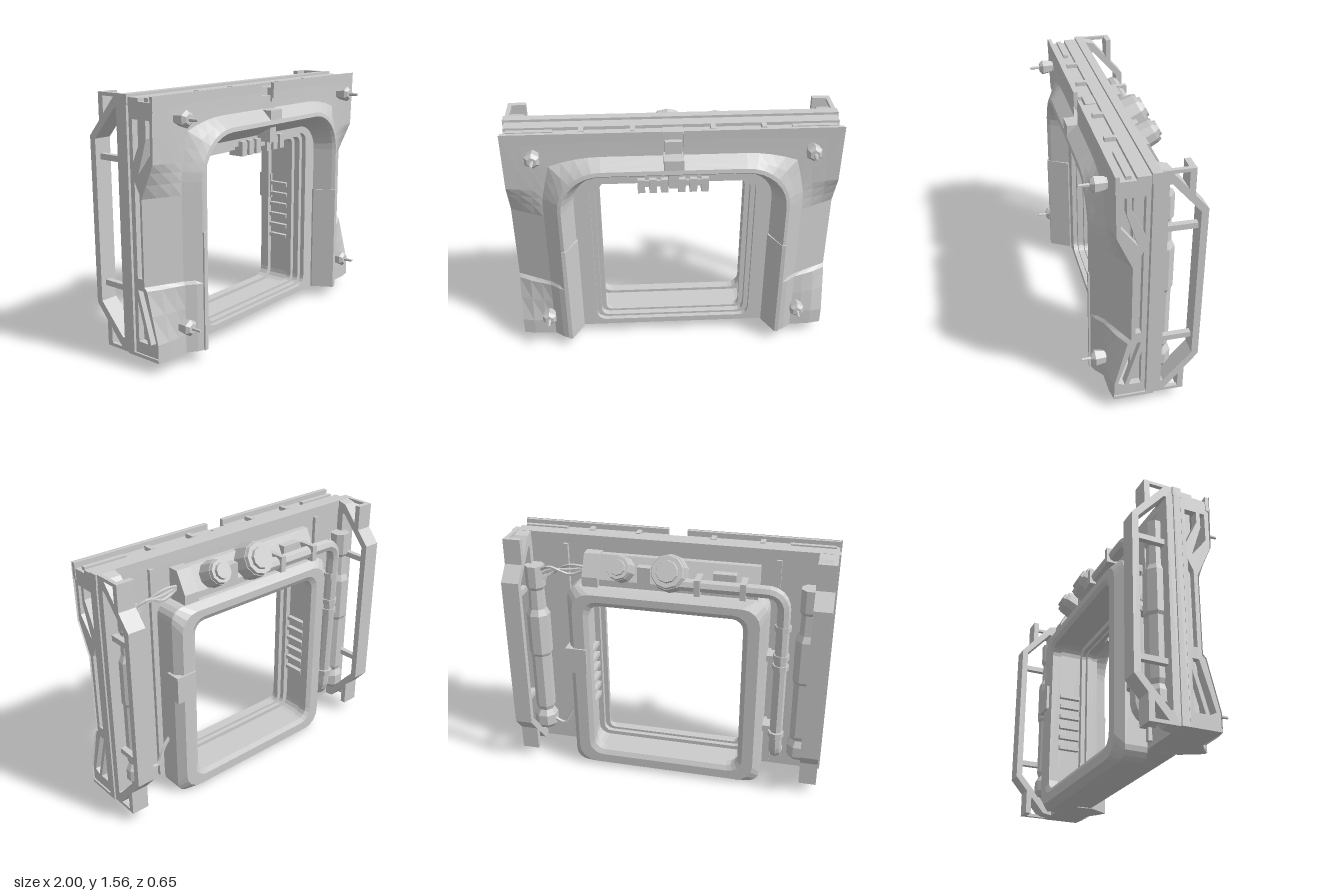
import * as THREE from 'three';

const mat = new THREE.MeshStandardMaterial({ color: 0xcccccc, flatShading: true, side: THREE.DoubleSide });
const V = (x, y, z) => new THREE.Vector3(x, y, z);

function add(parent, name, geo) {
  const m = new THREE.Mesh(geo, mat);
  m.name = name;
  parent.add(m);
  return m;
}

// Box given by its extents on each axis
function box(parent, name, x0, x1, y0, y1, z0, z1) {
  return add(parent, name, new THREE.BoxGeometry(x1 - x0, y1 - y0, z1 - z0)
    .translate((x0 + x1) / 2, (y0 + y1) / 2, (z0 + z1) / 2));
}

// Skin over rows of points of equal count
function loft(rows, closed = false) {
  const pos = [], idx = [], n = rows[0].length;
  rows.forEach(r => r.forEach(p => pos.push(p.x, p.y, p.z)));
  for (let j = 0; j < rows.length - 1; j++)
    for (let i = 0; i < (closed ? n : n - 1); i++) {
      const a = j * n + i, b = j * n + (i + 1) % n;
      idx.push(a, b + n, b, a, a + n, b + n);
    }
  const g = new THREE.BufferGeometry();
  g.setAttribute('position', new THREE.Float32BufferAttribute(pos, 3));
  g.setIndex(idx);
  g.computeVertexNormals();
  return g;
}

const shapeOf = pts => new THREE.Shape(pts.map(p => new THREE.Vector2(p[0], p[1])));
const extrude = (shape, depth) => new THREE.ExtrudeGeometry(shape, { depth, bevelEnabled: false });

// Outline in (z, y), extruded inward from x1
function sideExtrude(pts, holes, x1, depth) {
  const s = shapeOf(pts);
  s.holes = holes.map(shapeOf);
  return extrude(s, depth).rotateY(-Math.PI / 2).translate(x1, 0, 0);
}

// Outline in (x, z), extruded upward from y0
const floorExtrude = (pts, y0, h) =>
  extrude(shapeOf(pts.map(([x, z]) => [x, -z])), h).rotateX(-Math.PI / 2).translate(0, y0, 0);

// Mirrored copy with its faces turned the right way round
function mirrored(group) {
  const out = new THREE.Group();
  group.updateMatrixWorld(true);
  group.traverse(o => {
    if (!o.isMesh) return;
    const g = o.geometry.clone().applyMatrix4(o.matrixWorld).applyMatrix4(new THREE.Matrix4().makeScale(-1, 1, 1));
    const order = g.index ? Array.from(g.index.array) : [...Array(g.attributes.position.count).keys()];
    g.setIndex(order.reverse());
    add(out, o.name, g);
  });
  return out;
}

// Half of the arch, from the foot up to xc on the top edge
const levels = [0.07, 0.18, 0.34, 0.48, 0.5, 0.78, 1.0];
const ARC = 8;
function halfArch(hw, top, r, xc) {
  const p = levels.map(y => [hw, y]);
  for (let i = 0; i <= ARC; i++) {
    const a = i / ARC * Math.PI / 2;
    p.push([hw - r + r * Math.cos(a), top - r + r * Math.sin(a)]);
  }
  p.push([xc, top]);
  return p;
}

// Depth of the front skin along its outer edge
const profile = [[0.07, 0.175], [0.18, 0.175], [0.48, 0.1], [0.5, 0.08], [1.0, 0.08], [1.2, 0.17], [1.56, 0.18]];
function edgeZ(y) {
  for (let i = 1; i < profile.length; i++) {
    const [y0, z0] = profile[i - 1], [y1, z1] = profile[i];
    if (y <= y1 + 1e-6) return z0 + (z1 - z0) * (y - y0) / (y1 - y0);
  }
  return 0.18;
}

function roundedLoop(hw, y0, y1, r, z) {
  const pts = [];
  [[1, 1], [-1, 1], [-1, -1], [1, -1]].forEach(([sx, sy], q) => {
    for (let i = 0; i <= 4; i++) {
      const a = (q + i / 4) * Math.PI / 2;
      pts.push(V(sx * (hw - r) + r * Math.cos(a), (sy > 0 ? y1 - r : y0 + r) + r * Math.sin(a), z));
    }
  });
  return pts;
}

// Everything that repeats on both sides
function buildHalf() {
  const g = new THREE.Group();

  // Front skin: from the arch edge to the outer rectangle, with a proud lower panel
  const inner = halfArch(0.7, 1.34, 0.27, 0.06);
  const corner = [[1, 1.08], [1, 1.15], [1, 1.2], [1, 1.36], [1, 1.56], [0.85, 1.56], [0.7, 1.56], [0.56, 1.56], [0.43, 1.56], [0.06, 1.56]];
  const outer = [...levels.map(y => [1, y]), ...corner];
  const rows = [0, 0.12, 0.3, 0.5, 0.75, 1].map(v => inner.map((p, i) => {
    const x = p[0] + (outer[i][0] - p[0]) * v, y = p[1] + (outer[i][1] - p[1]) * v;
    const z = v < 0.3 ? 0.25 - 0.07 * v / 0.3 : 0.18 + (edgeZ(y) - 0.18) * (v - 0.3) / 0.7;
    return V(x, y, z + (y < 0.49 && v > 0 && v < 1 ? 0.012 : 0));
  }));
  add(g, 'frontSkin', loft(rows));

  // Splayed jamb of the arch
  const jamb = [[0.6, 1.22, 0.16, 0.1], [0.61, 1.235, 0.17, 0.12], [0.665, 1.3, 0.24, 0.235], [0.68, 1.315, 0.25, 0.255], [0.7, 1.34, 0.27, 0.25]];
  add(g, 'archJamb', loft(jamb.map(([hw, t, r, z]) => halfArch(hw, t, r, 0).map(p => V(p[0], p[1], z)))));
  add(g, 'lowerJambLiner', floorExtrude([[0.7, 0.235], [0.7, 0.26], [0.675, 0.26], [0.602, 0.13], [0.602, 0.1], [0.62, 0.1]], 0.07, 0.71));

  // Back plate around the opening
  const plate = [...halfArch(0.605, 1.225, 0.16, 0), [0, 1.56], [1, 1.56], [1, 0.07]];
  add(g, 'mainPlate', extrude(shapeOf(plate), 0.045).translate(0, 0, -0.062));
  box(g, 'recessedSideWall', 0.9, 0.95, 0.07, 1.5, -0.02, 0.07);
  add(g, 'pillarFoot', floorExtrude([[0.7, 0.25], [0.79, 0.18], [1, 0.175], [1, -0.02], [0.61, -0.02], [0.61, 0.12], [0.68, 0.25]], 0.07, 0.02));

  // Side frame with open truss windows
  add(g, 'sideFrame', sideExtrude(
    [[-0.01, 0.07], ...profile.slice(0, -1).map(([y, z]) => [z, y]), [0.172, 1.47], [-0.01, 1.47]],
    [[[0.015, 0.16], [0.085, 0.16], [0.015, 0.4]], [[0.11, 0.16], [0.15, 0.18], [0.06, 0.47], [0.02, 0.47]],
      [[0.02, 0.54], [0.055, 0.54], [0.055, 1.02], [0.02, 1.09]],
      [[0.015, 1.2], [0.09, 1.36], [0.09, 1.43], [0.015, 1.43]], [[0.05, 1.13], [0.145, 1.25], [0.145, 1.43], [0.115, 1.43], [0.115, 1.33]]],
    0.99, 0.055));

  // Top rails and channel
  box(g, 'topRail', 0, 1, 1.5, 1.56, -0.066, -0.012);
  box(g, 'middleRail', 0, 0.99, 1.47, 1.545, -0.012, 0.065);
  box(g, 'topChannel', 0.06, 0.99, 1.44, 1.525, 0.06, 0.165);
  box(g, 'topLip', 0.06, 0.995, 1.46, 1.558, 0.155, 0.178);
  for (const x of [0.22, 0.52]) box(g, 'railClip', x, x + 0.03, 1.52, 1.55, 0.065, 0.13);
  box(g, 'endClip', 0.7, 0.97, 1.52, 1.545, 0.09, 0.12);

  // Rear guard with rungs
  add(g, 'rearGuard', sideExtrude(
    [[-0.06, 0.07], [-0.12, 0.08], [-0.325, 0.32], [-0.325, 1.31], [-0.12, 1.545], [-0.06, 1.56]],
    [[[-0.105, 0.15], [-0.12, 0.15], [-0.285, 0.335], [-0.285, 1.295], [-0.12, 1.48], [-0.105, 1.48]]], 0.99, 0.11));
  for (const y of [0.44, 1.19]) box(g, 'guardRung', 0.92, 0.955, y - 0.017, y + 0.017, -0.3, -0.08);
  for (const [a, b, c] of [[0.07, 0.24, 0.07], [1.4, 1.56, 1.54]]) {
    box(g, 'guardLeg', 0.88, 0.99, a, b, -0.245, -0.21);
    box(g, 'guardCap', 0.965, 0.99, c, c + 0.02, -0.24, -0.06);
  }
  box(g, 'backPost', 0.64, 0.67, 0.1, 1.5, -0.085, -0.06);

  // Canister column beside the guard
  const can = [[0, 0.19], [0.055, 0.19], [0.078, 0.22], [0.078, 0.29], [0.055, 0.33], [0.065, 0.36], [0.065, 0.74], [0.075, 0.76], [0.075, 1.03],
    [0.055, 1.07], [0.05, 1.2], [0.062, 1.22], [0.062, 1.36], [0, 1.36]];
  add(g, 'canister', new THREE.LatheGeometry(can.map(p => new THREE.Vector2(...p)), 8).rotateY(Math.PI / 8).translate(0.855, 0, -0.115));
  for (const y of [0.24, 1.28]) box(g, 'canisterMount', 0.8, 0.89, y - 0.03, y + 0.03, -0.12, -0.06);

  // Bolts on the four corners
  for (const y of [0.245, 1.43]) {
    const bolt = new THREE.Group();
    bolt.name = 'bolt';
    const parts = [[0.035, 0.035, 0.06, 0], [0.05, 0.04, 0.06, 0.035], [0.03, 0.05, 0.02, 0.075], [0.009, 0.012, 0.07, 0.11]];
    for (const [r1, r0, h, z] of parts)
      add(bolt, 'boltPart', new THREE.CylinderGeometry(r1, r0, h, 6).rotateX(Math.PI / 2)).position.z = z;
    bolt.position.set(0.815, y, 0.185);
    g.add(bolt);
  }

  // Vent teeth and inner rungs
  for (const x of [0.05, 0.12, 0.19]) box(g, 'ventTooth', x - 0.02, x + 0.025, 1.13, 1.22, 0.05, 0.15);
  for (let i = 0; i < 6; i++) box(g, 'innerRung', 0.485, 0.515, 0.42 + i * 0.075, 0.445 + i * 0.075, -0.16, -0.02);
  return g;
}

export function createModel() {
  const model = new THREE.Group();
  const left = buildHalf(), right = mirrored(left);
  left.name = 'leftHalf';
  right.name = 'rightHalf';
  model.add(left, right);

  // Rear ring with a deep stepped inner frame that ends at the jamb
  const ring = [[0.61, 0.07, 1.24, 0.02, -0.065], [0.62, 0, 1.28, 0.08, -0.065], [0.62, 0, 1.28, 0.08, -0.2], [0.58, 0.03, 1.245, 0.11, -0.247],
    [0.51, 0.09, 1.2, 0.09, -0.247], [0.48, 0.12, 1.17, 0.07, -0.23], [0.48, 0.12, 1.17, 0.07, -0.17], [0.515, 0.1, 1.2, 0.07, -0.17],
    [0.515, 0.1, 1.2, 0.07, -0.01], [0.48, 0.125, 1.165, 0.05, -0.01], [0.48, 0.125, 1.165, 0.05, 0.02],
    [0.45, 0.14, 1.15, 0.04, 0.02], [0.45, 0.14, 1.15, 0.04, 0.05], [0.48, 0.125, 1.165, 0.05, 0.05],
    [0.48, 0.125, 1.165, 0.05, 0.09], [0.51, 0.11, 1.19, 0.06, 0.09], [0.51, 0.11, 1.19, 0.06, 0.12],
    [0.61, 0.07, 1.24, 0.02, 0.12], [0.61, 0.07, 1.24, 0.02, -0.065]];
  add(model, 'rearRing', loft(ring.map(a => roundedLoop(...a)), true));

  // Centre notch and keystone
  box(model, 'notchBack', -0.06, 0.06, 1.34, 1.53, 0.06, 0.13);
  box(model, 'notchBlock', -0.05, 0.05, 1.4, 1.48, 0.1, 0.16);
  box(model, 'keystone', -0.058, 0.058, 1.32, 1.4, 0.1, 0.245);
  box(model, 'lintelRib', -0.03, 0.03, 1.2, 1.33, 0.1, 0.22);
  box(model, 'ventBar', -0.2, 0.2, 1.165, 1.205, 0.06, 0.135);

  // Sloped equipment panel above the ring, with round caps
  add(model, 'equipmentPanel', sideExtrude([[-0.06, 1.26], [-0.17, 1.26], [-0.17, 1.32], [-0.1, 1.46], [-0.06, 1.46]], [], 0.5, 1.05));
  add(model, 'panelBlock', sideExtrude([[-0.06, 1.28], [-0.2, 1.28], [-0.2, 1.34], [-0.13, 1.47], [-0.06, 1.47]], [], 0.52, 0.1));
  for (const [x, w] of [[-0.42, 0.14], [0.1, 0.08]]) box(model, 'panelBlock', x, x + w, 1.29, 1.42, -0.17, -0.1);
  for (const [x, r] of [[-0.02, 0.118], [0.28, 0.085]]) {
    const cap = new THREE.Group();
    cap.name = 'roundCap';
    for (const [k, h, d] of [[1, 0.12, 0], [0.9, 0.03, 0.065], [0.6, 0.025, 0.085]])
      add(cap, 'capDisc', new THREE.CylinderGeometry(r * k * 0.9, r * k, h, 10)).position.y = d;
    cap.position.set(x, 1.4, -0.165);
    cap.rotation.x = -1.1;
    model.add(cap);
  }

  // Pipe along the top and down one side
  const run = new THREE.CurvePath();
  const a = V(-0.08, 1.35, -0.2), b = V(-0.6, 1.35, -0.2), c = V(-0.71, 1.23, -0.19), d = V(-0.71, 0.3, -0.17), e = V(-0.71, 0.2, -0.06);
  run.add(new THREE.LineCurve3(a, b));
  run.add(new THREE.QuadraticBezierCurve3(b, V(-0.71, 1.35, -0.2), c));
  run.add(new THREE.LineCurve3(c, d));
  run.add(new THREE.QuadraticBezierCurve3(d, V(-0.71, 0.2, -0.17), e));
  add(model, 'pipe', new THREE.TubeGeometry(run, 60, 0.04, 8));
  for (const x of [-0.2, -0.47]) box(model, 'pipeFlange', x - 0.018, x + 0.018, 1.3, 1.4, -0.25, -0.08);
  for (const y of [0.38, 0.86, 0.93, 1.12])
    add(model, 'pipeClamp', new THREE.CylinderGeometry(0.05, 0.05, 0.035, 8)).position.set(-0.71, y, -0.18);
  for (const y of [0.4, 0.9]) box(model, 'pipeBracket', -0.74, -0.62, y - 0.02, y + 0.02, -0.17, -0.06);

  // Cables from the left canister to the panel and ring
  for (const k of [0, 0.03, 0.06]) {
    const cable = new THREE.CatmullRomCurve3([V(0.82, 1.33 - k, -0.13), V(0.74, 1.37 - k, -0.16 + k), V(0.62, 1.32 + k, -0.13), V(0.49, 1.37, -0.12)]);
    add(model, 'cable', new THREE.TubeGeometry(cable, 14, 0.01, 5));
  }
  const low = new THREE.CatmullRomCurve3([V(0.82, 0.27, -0.13), V(0.72, 0.23, -0.13), V(0.66, 0.33, -0.12), V(0.6, 0.4, -0.12)]);
  add(model, 'cable', new THREE.TubeGeometry(low, 14, 0.012, 5));
  box(model, 'ringClamp', 0.5, 0.635, 0.7, 0.87, -0.258, -0.16);
  return model;
}
